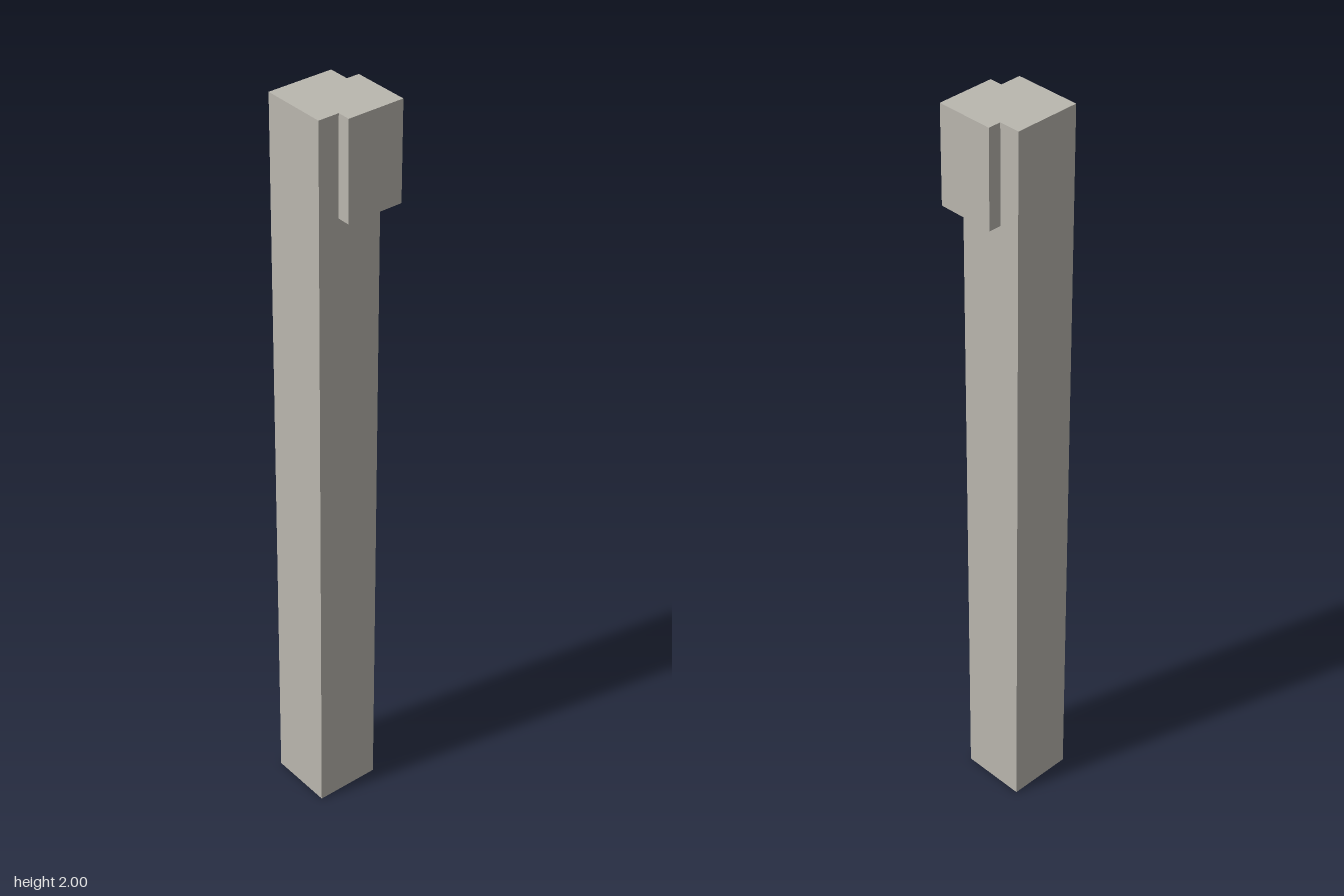
import * as THREE from 'three';

export function createModel() {
  const group = new THREE.Group();
  const stone = new THREE.MeshStandardMaterial({ color: 0xbab7af });
  stone.name = 'warm grey stone';

  // Extrudes a plan outline of [x, z] points upward between two heights
  function prism(name, plan, bottom, top) {
    const shape = new THREE.Shape(plan.map(([x, z]) => new THREE.Vector2(x, -z)));
    const geometry = new THREE.ExtrudeGeometry(shape, { depth: top - bottom, bevelEnabled: false });
    geometry.rotateX(-Math.PI / 2).translate(0, bottom, 0);
    const mesh = new THREE.Mesh(geometry, stone);
    mesh.name = name;
    group.add(mesh);
  }

  const back = -0.105, face = 0.071; // post sides, same on x and z
  const inner = -0.049, outer = 0.105; // corner block sides

  // Square post
  prism('post', [[back, back], [back, face], [face, face], [face, back]], 0, 2);

  // Block wrapping the front left corner at the top of the post
  prism('cornerBlock', [
    [inner, face], [inner, outer], [outer, outer],
    [outer, inner], [face, inner], [face, face],
  ], 1.74, 2);

  return group;
}
